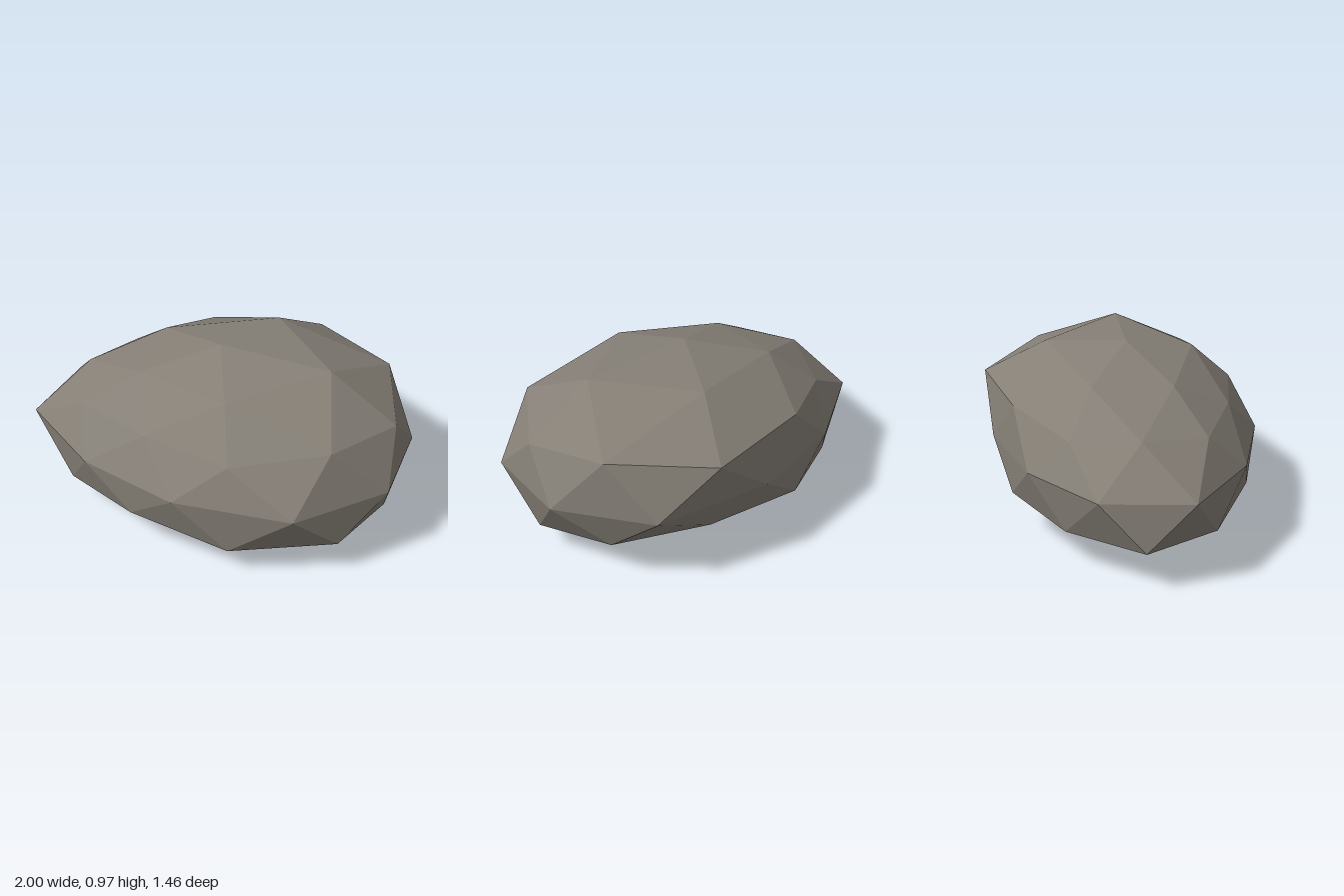
import * as THREE from 'three';

const stone = new THREE.MeshStandardMaterial({ color: 0x857f76 });
stone.name = 'warmGreyStone';

// Overall proportions and middle of the boulder
const scale = new THREE.Vector3(1, 0.5, 0.75);
const centre = new THREE.Vector3(0, 0.46, 0.015);

// A ring of points on a unit sphere, each pushed in or out by its own factor
function ring(radius, height, startDegrees, factors) {
  return factors.map((f, i) => {
    const a = THREE.MathUtils.degToRad(startDegrees + (360 / factors.length) * i);
    return new THREE.Vector3(radius * Math.cos(a), height, radius * Math.sin(a))
      .multiplyScalar(f).multiply(scale).add(centre);
  });
}

function boulderGeometry() {
  const top = ring(0, 1, 0, [1.02])[0];
  const crown = ring(0.526, 0.851, 0, [1.14, 1.0, 0.89, 0.93, 1.105]);
  const upper = ring(0.894, 0.447, 0, [1.07, 0.94, 0.88, 0.87, 1.175]);
  const upperMid = ring(0.851, 0.526, 36, [1.06, 0.85, 0.895, 1.0, 1.16]);
  const belt = ring(1, 0, 18, [1.05, 1.06, 0.945, 0.925, 1.045, 0.99, 0.905, 0.953, 1.09, 1.05]);
  const lowerMid = ring(0.851, -0.526, 0, [1.095, 1.075, 1.04, 0.99, 0.93]);
  const lower = ring(0.894, -0.447, 36, [1.11, 0.97, 1.115, 0.98, 1.045]);
  const foot = ring(0.526, -0.851, 36, [1.055, 0.96, 0.99, 0.96, 1.02]);
  const bottom = ring(0, -1, 0, [0.92])[0];

  const positions = [];
  const normal = new THREE.Vector3();
  const outward = new THREE.Vector3();

  // Adds one facet, turned to face away from the middle
  function facet(a, b, c) {
    new THREE.Triangle(a, b, c).getNormal(normal);
    outward.copy(a).add(b).add(c).divideScalar(3).sub(centre);
    const corners = normal.dot(outward) > 0 ? [a, b, c] : [a, c, b];
    corners.forEach((p) => positions.push(p.x, p.y, p.z));
  }

  // Splits a large triangle into four using its edge points
  function split(a, b, c, ab, bc, ca) {
    facet(a, ab, ca);
    facet(b, bc, ab);
    facet(c, ca, bc);
    facet(ab, bc, ca);
  }

  // Five matching sectors around the vertical axis
  for (let k = 0; k < 5; k++) {
    const n = (k + 1) % 5;
    const e0 = belt[2 * k], e1 = belt[2 * k + 1], e2 = belt[(2 * k + 2) % 10];
    split(top, upper[k], upper[n], crown[k], upperMid[k], crown[n]);
    split(upper[k], upper[n], lower[k], upperMid[k], e1, e0);
    split(lower[k], lower[n], upper[n], lowerMid[n], e2, e1);
    split(bottom, lower[k], lower[n], foot[k], lowerMid[n], foot[n]);
  }

  const geometry = new THREE.BufferGeometry();
  geometry.setAttribute('position', new THREE.Float32BufferAttribute(positions, 3));
  geometry.computeVertexNormals(); // unshared corners give flat facets
  return geometry;
}

export function createModel() {
  const model = new THREE.Group();
  model.name = 'rock';
  const boulder = new THREE.Mesh(boulderGeometry(), stone);
  boulder.name = 'boulder';
  model.add(boulder);
  return model;
}
